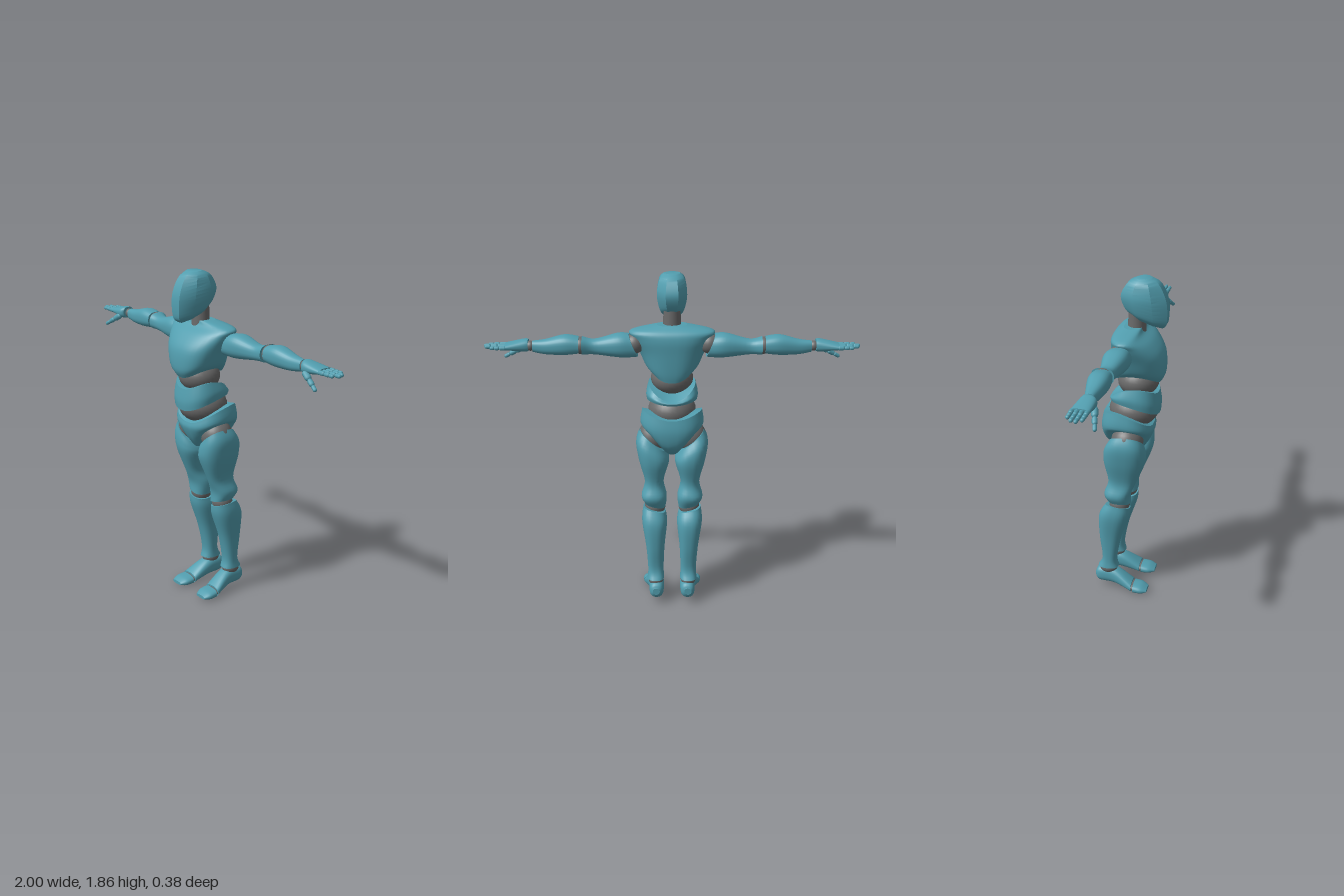
import * as THREE from 'three';
import { toCreasedNormals } from 'three/addons/utils/BufferGeometryUtils.js';

const shell = new THREE.MeshStandardMaterial({ color: 0x529eaf });
shell.name = 'teal shell';
const joint = new THREE.MeshStandardMaterial({ color: 0x6a6a6a });
joint.name = 'grey joint';

// Axis maps: (a, s, b) are cross-section side, along, cross-section depth.
const AXES = {
  x: (a, s, b) => [s, b, a],
  y: (a, s, b) => [a, s, b],
  z: (a, s, b) => [b, a, s],
};

// Smooth tube through sections [s, a0, a1, b0, b1, tiltB, tiltA, arch], s ascending.
function loft(axis, sections, sides = 28) {
  const full = sections.map((k) => Array.from({ length: 8 }, (_, i) => k[i] ?? 0));
  const at = (i) => full[Math.min(Math.max(i, 0), full.length - 1)];
  const steps = 5;
  const rings = [];
  for (let i = 0; i < full.length - 1; i++) {
    for (let k = 0; k < steps; k++) {
      const t = k / steps;
      rings.push(full[i].map((p1, c) => {
        const p0 = at(i - 1)[c], p2 = at(i + 1)[c], p3 = at(i + 2)[c];
        return 0.5 * (2 * p1 + (p2 - p0) * t + (2 * p0 - 5 * p1 + 4 * p2 - p3) * t * t
          + (3 * p1 - p0 - 3 * p2 + p3) * t * t * t);
      }));
    }
  }
  rings.push(full[full.length - 1]);

  // Unit outline: superellipse, or an octagon when there are eight sides
  const outline = [];
  for (let j = 0; j < sides; j++) {
    const w = ((j + 0.5) / sides) * Math.PI * 2, c = Math.cos(w), s = Math.sin(w);
    const f = (v) => Math.sign(v) * Math.abs(v) ** 0.82;
    const grow = 1 / Math.cos(Math.PI / 8);
    outline.push(sides === 8 ? [c * grow, s * grow] : [f(c), f(s)]);
  }
  const pos = [], index = [];
  const ringPoints = rings.map(([s, a0, a1, b0, b1, tb, ta, arch]) => outline.map(([u, v]) => {
    const da = (u * (a1 - a0)) / 2, db = (v * (b1 - b0)) / 2;
    return AXES[axis]((a0 + a1) / 2 + da, s + tb * db + ta * da + arch * u * u, (b0 + b1) / 2 + db);
  }));
  ringPoints.forEach((ring) => ring.forEach((p) => pos.push(...p)));
  for (let i = 0; i < rings.length - 1; i++) {
    for (let j = 0; j < sides; j++) {
      const a = i * sides + j, b = i * sides + ((j + 1) % sides);
      index.push(a, a + sides, b, b, a + sides, b + sides);
    }
  }
  // End caps with their own vertices, for a crisp rim
  [ringPoints[0], ringPoints[ringPoints.length - 1]].forEach((ring, end) => {
    const base = pos.length / 3;
    pos.push(...[0, 1, 2].map((c) => ring.reduce((sum, p) => sum + p[c], 0) / sides));
    ring.forEach((p) => pos.push(...p));
    for (let j = 0; j < sides; j++) {
      const a = base + 1 + j, b = base + 1 + ((j + 1) % sides);
      index.push(base, ...(end ? [b, a] : [a, b]));
    }
  });
  const geo = new THREE.BufferGeometry();
  geo.setAttribute('position', new THREE.Float32BufferAttribute(pos, 3));
  geo.setIndex(index);
  geo.computeVertexNormals();
  return geo;
}

// Symmetric trunk section: [y, halfWidth, back, front, tilt, arch]
const trunk = (rows, sides) => loft('y',
  rows.map(([y, w, z0, z1, tilt, arch]) => [y, -w, w, z0, z1, tilt, 0, arch]), sides);

const ball = (x, y, z, rx, ry = rx, rz = rx) =>
  new THREE.SphereGeometry(1, 28, 18).scale(rx, ry, rz).translate(x, y, z);

// Rounded finger bone between two points
function bone(a, b, radius) {
  const dir = b.clone().sub(a);
  const geo = new THREE.CapsuleGeometry(radius, Math.max(dir.length() - 1.6 * radius, 0.002), 4, 10);
  geo.applyQuaternion(new THREE.Quaternion().setFromUnitVectors(
    new THREE.Vector3(0, 1, 0), dir.normalize()));
  return geo.translate(...a.clone().add(b).multiplyScalar(0.5).toArray());
}

function mirror(geo) {
  geo.scale(-1, 1, 1);
  const ix = geo.index.array;
  for (let i = 0; i < ix.length; i += 3) [ix[i], ix[i + 1]] = [ix[i + 1], ix[i]];
  return geo;
}

function buildTrunk(put) {
  put('head', toCreasedNormals(trunk([
    [1.625, 0.042, 0, 0.165, -0.36], [1.66, 0.066, -0.035, 0.188, -0.3],
    [1.75, 0.08, -0.055, 0.188, -0.1], [1.83, 0.067, -0.022, 0.148], [1.86, 0.042, 0.03, 0.1],
  ], 8), 0.6));
  put('neck', new THREE.CylinderGeometry(0.045, 0.05, 0.14, 28).translate(0, 1.61, 0.025), joint);
  put('chest', trunk([
    [1.295, 0.115, -0.085, 0.16, 0, 0.05], [1.345, 0.145, -0.093, 0.182, 0, 0.03],
    [1.45, 0.178, -0.098, 0.175], [1.525, 0.213, -0.1, 0.125],
    [1.57, 0.22, -0.085, 0.07], [1.597, 0.08, -0.04, 0.06],
  ], 36));
  put('upper waist joint', ball(0, 1.29, 0.035, 0.115, 0.09, 0.112), joint);
  put('abdomen', trunk([
    [1.143, 0.136, -0.112, 0.155, -0.24, 0.03], [1.175, 0.141, -0.117, 0.158, -0.1, 0.04],
    [1.212, 0.127, -0.1, 0.147, 0.14, 0.06],
  ]));
  put('lower waist joint', ball(0, 1.12, 0.01, 0.13, 0.1, 0.135), joint);
  put('pelvis', trunk([
    [0.885, 0.055, -0.09, 0.06, 0, 0.03], [0.94, 0.13, -0.145, 0.1, 0, 0.08],
    [1.015, 0.172, -0.162, 0.125, -0.08, 0.04], [1.07, 0.164, -0.15, 0.12, -0.25, 0.06],
  ]));
}

// The model's left (+x) leg
function buildLeg(put) {
  put('hip joint', ball(0.1, 0.965, -0.005, 0.088), joint);
  put('thigh', loft('y', [
    [0.57, 0.037, 0.152, -0.11, 0.012, 0, 0.2], [0.63, 0.03, 0.17, -0.135, 0.014],
    [0.71, 0.047, 0.152, -0.112, 0.045], [0.83, 0.018, 0.185, -0.135, 0.092, 0, 0.15],
    [0.9, 0.018, 0.198, -0.13, 0.098, 0, 0.5], [0.948, 0.03, 0.175, -0.1, 0.088, 0, 0.85],
  ]));
  put('knee joint', ball(0.095, 0.56, -0.052, 0.058), joint);
  put('shin', loft('y', [
    [0.14, 0.045, 0.14, -0.178, -0.06], [0.2, 0.048, 0.136, -0.153, -0.07],
    [0.34, 0.042, 0.147, -0.167, -0.043], [0.48, 0.028, 0.168, -0.168, 0.003, 0, 0.1],
    [0.548, 0.036, 0.16, -0.13, 0.01, -0.08, 0.25],
  ]));
  put('ankle joint', ball(0.092, 0.13, -0.12, 0.043, 0.04, 0.052), joint);
  put('foot', loft('z', [
    [-0.193, 0.06, 0.1, 0.07, 0.11], [-0.17, 0.034, 0.126, 0.05, 0.127],
    [-0.08, 0.028, 0.125, 0.046, 0.134], [0.025, 0.003, 0.058, 0.052, 0.162],
  ]));
  put('toe joint', ball(0.107, 0.028, 0.03, 0.052, 0.022, 0.02), joint);
  put('toe', loft('z', [
    [0.035, 0, 0.052, 0.052, 0.164], [0.08, 0, 0.045, 0.055, 0.165], [0.115, 0.01, 0.028, 0.075, 0.15],
  ]));
}

// The model's left (+x) arm
function buildArm(put) {
  put('shoulder joint', ball(0.2, 1.5, -0.02, 0.055), joint);
  put('upper arm', loft('x', [
    [0.205, -0.08, 0.045, 1.43, 1.552, 0.4], [0.28, -0.09, 0.045, 1.428, 1.555, 0.15],
    [0.41, -0.072, 0.016, 1.445, 1.526], [0.477, -0.095, 0.022, 1.447, 1.54],
  ]));
  put('elbow joint', ball(0.485, 1.494, -0.035, 0.046), joint);
  put('forearm', loft('x', [
    [0.494, -0.085, 0.02, 1.452, 1.54], [0.57, -0.088, 0.024, 1.444, 1.55],
    [0.67, -0.07, 0.007, 1.446, 1.526], [0.74, -0.055, -0.004, 1.458, 1.517],
  ]));
  put('wrist joint', ball(0.752, 1.49, -0.03, 0.027), joint);
  put('palm', loft('x', [
    [0.763, -0.062, 0.008, 1.462, 1.525], [0.79, -0.068, 0.022, 1.46, 1.524],
    [0.885, -0.084, 0.012, 1.474, 1.504],
  ]));

  // Chain of three bones along a line, each a little thinner
  const digit = (name, start, end, radius, taper) => {
    const stop = (t) => start.clone().lerp(end, t);
    const stops = [0, 0.42, 0.73, 1].map(stop);
    for (let i = 0; i < 3; i++) {
      put(`${name} bone ${i + 1}`, bone(stops[i], stops[i + 1], radius - i * taper));
    }
  };
  digit('thumb', new THREE.Vector3(0.79, 1.475, 0.01), new THREE.Vector3(0.902, 1.408, 0.04), 0.017, 0.0033);
  const reach = { index: 0.976, middle: 0.998, ring: 0.99, little: 0.96 };
  Object.entries(reach).forEach(([name, tip], i) => {
    const z = 0.001 - 0.0247 * i;
    digit(`${name} finger`, new THREE.Vector3(0.875, 1.489, z), new THREE.Vector3(tip, 1.489, z), 0.0122, 0.001);
  });
}

export function createModel() {
  const model = new THREE.Group();
  model.name = 'jointed mannequin';
  const assemble = (name, build, prefix = '', shape = (geo) => geo) => {
    const group = new THREE.Group();
    group.name = name;
    build((part, geo, material = shell) => {
      const mesh = new THREE.Mesh(shape(geo), material);
      mesh.name = prefix + part;
      group.add(mesh);
    });
    model.add(group);
  };
  assemble('trunk', buildTrunk);
  assemble('left leg', buildLeg, 'left ');
  assemble('left arm', buildArm, 'left ');
  assemble('right leg', buildLeg, 'right ', mirror);
  assemble('right arm', buildArm, 'right ', mirror);
  return model;
}
